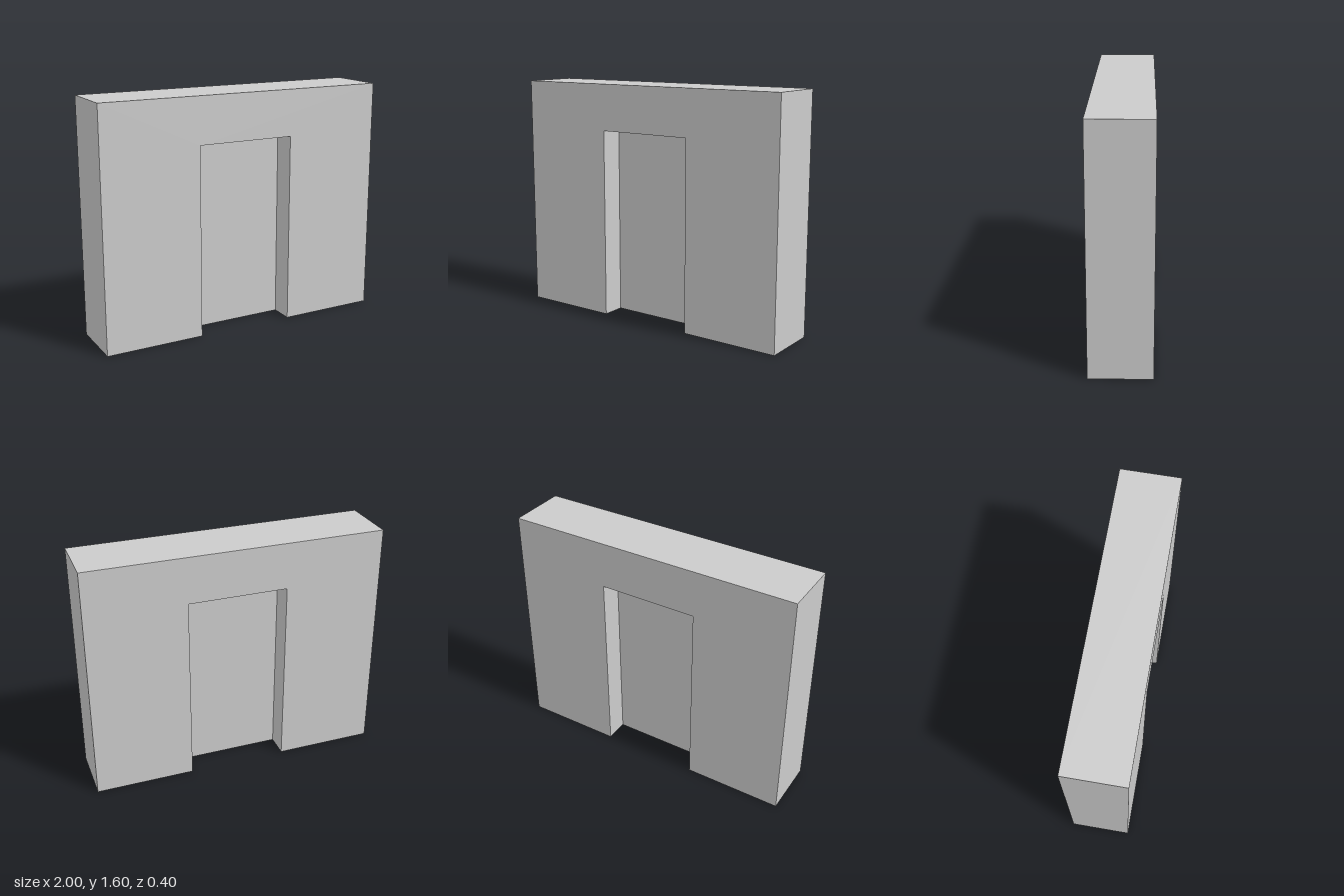
import * as THREE from 'three';

const WIDTH = 2, HEIGHT = 1.6, DEPTH = 0.4;
const DOOR_HALF = 0.333, DOOR_HEIGHT = 1.287, DOOR_DEPTH = 0.08;

export function createModel() {
  const model = new THREE.Group();
  model.name = 'wallWithDoorway';
  const material = new THREE.MeshStandardMaterial({ color: 0xcccccc });

  // Wall: outline with a doorway cut up from the floor
  const outline = new THREE.Shape([
    [-WIDTH / 2, 0], [-DOOR_HALF, 0], [-DOOR_HALF, DOOR_HEIGHT], [DOOR_HALF, DOOR_HEIGHT],
    [DOOR_HALF, 0], [WIDTH / 2, 0], [WIDTH / 2, HEIGHT], [-WIDTH / 2, HEIGHT],
  ].map(([x, y]) => new THREE.Vector2(x, y)));
  const wallGeometry = new THREE.ExtrudeGeometry(outline, { depth: DEPTH, bevelEnabled: false });
  wallGeometry.translate(0, 0, -DEPTH / 2);
  const wall = new THREE.Mesh(wallGeometry, material);
  wall.name = 'wall';
  model.add(wall);

  // Door panel: thin slab filling the opening, recessed equally on both sides
  const door = new THREE.Mesh(new THREE.BoxGeometry(DOOR_HALF * 2, DOOR_HEIGHT, DOOR_DEPTH), material);
  door.name = 'doorPanel';
  door.position.y = DOOR_HEIGHT / 2;
  model.add(door);

  return model;
}
